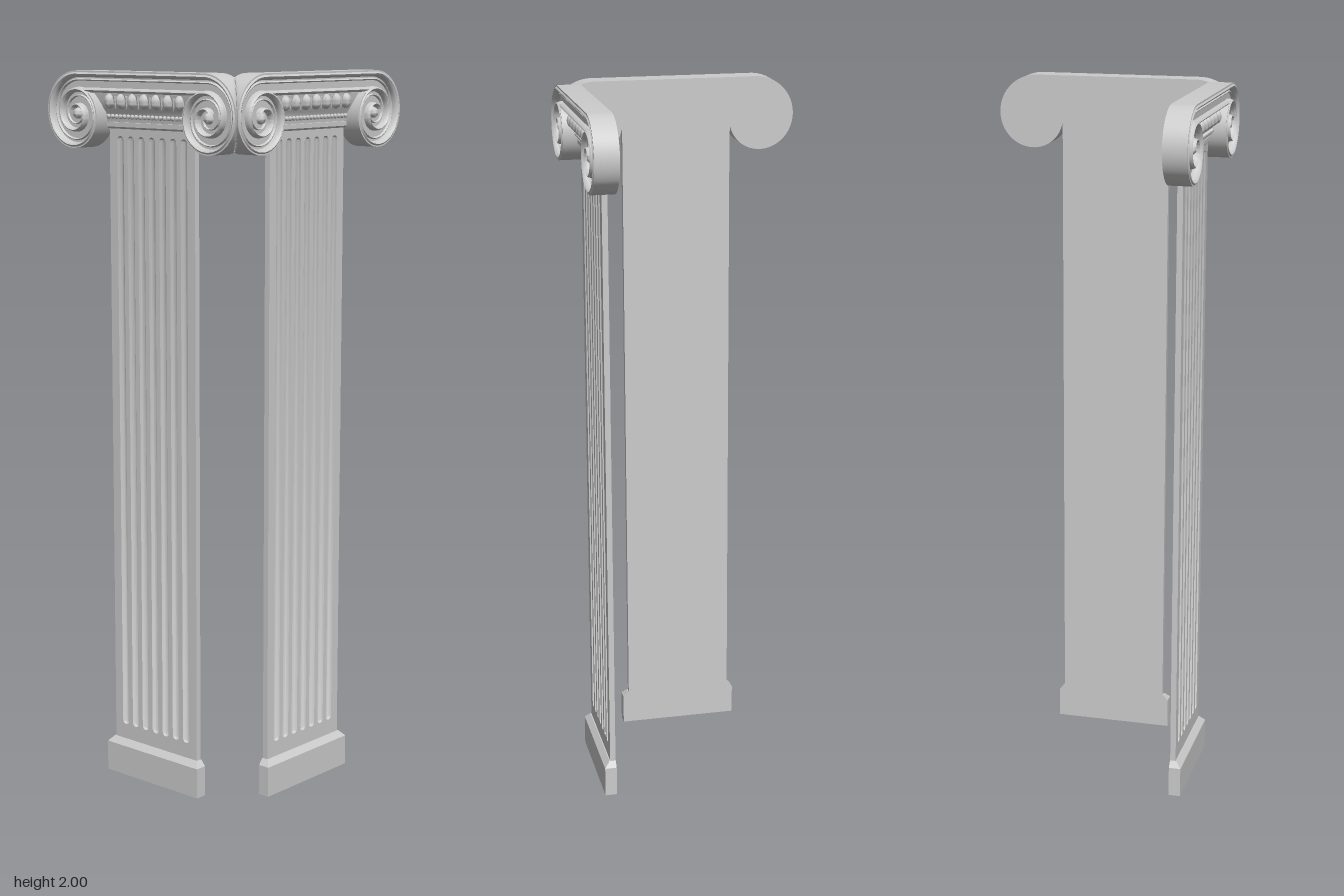
import * as THREE from 'three';
import { toCreasedNormals } from 'three/addons/utils/BufferGeometryUtils.js';

const CX = -0.003, BACK = 0.278, FRONT = 0.348;
const VX = 0.24, VY = 1.884, R0 = 0.116;          // volute centre and top radius
const stone = new THREE.MeshStandardMaterial({ color: 0xcccccc, side: THREE.DoubleSide });

// point on the left volute spiral, t in turns from the top, going outward-left first
function spiral(t, inset = 0) {
  const r = R0 * (1 - 0.38 * t) - inset, a = 2 * Math.PI * t;
  return [-VX - r * Math.sin(a), VY + r * Math.cos(a)];
}

function extrude(shape, z0, z1, steps = 1) {
  return new THREE.ExtrudeGeometry(shape, { depth: z1 - z0, steps, bevelEnabled: false, curveSegments: 10 }).translate(0, 0, z0);
}

function box(halfWidth, y0, y1, z0, z1) {
  return new THREE.BoxGeometry(2 * halfWidth, y1 - y0, z1 - z0).translate(0, (y0 + y1) / 2, (z0 + z1) / 2);
}

// moulding: a (z, y) profile run along x
function moulding(profile, halfWidth) {
  const shape = new THREE.Shape(profile.map(([z, y]) => new THREE.Vector2(z, y)));
  return new THREE.ExtrudeGeometry(shape, { depth: 2 * halfWidth, bevelEnabled: false })
    .rotateY(-Math.PI / 2).translate(halfWidth, 0, 0);
}

// half-round ridge along a flat path of [x, y, halfWidth]
function ridge(path, z0, height) {
  const m = 6, pos = [], idx = [];
  path.forEach(([x, y, w], i) => {
    const p = path[Math.max(i - 1, 0)], q = path[Math.min(i + 1, path.length - 1)];
    const l = Math.hypot(q[0] - p[0], q[1] - p[1]), nx = -(q[1] - p[1]) / l, ny = (q[0] - p[0]) / l;
    for (let j = 0; j <= m; j++) {
      const c = Math.cos(Math.PI * j / m) * w;
      pos.push(x + nx * c, y + ny * c, z0 + Math.sin(Math.PI * j / m) * height);
      if (i < path.length - 1 && j < m) {
        const a = i * (m + 1) + j, b = a + m + 1;
        idx.push(a, a + 1, b, b, a + 1, b + 1);
      }
    }
  });
  const g = new THREE.BufferGeometry();
  g.setAttribute('position', new THREE.Float32BufferAttribute(pos, 3));
  g.setIndex(idx);
  g.computeVertexNormals();
  return g;
}

// path from the left eye, out along the spiral, across the top and into the right eye
function scrollPath(turns, inset, w0, w1) {
  const left = [], n = Math.round(turns * 40);
  for (let i = n; i >= 0; i--) {
    const t = turns * i / n, w = w0 + (w1 - w0) * i / n;
    left.push([...spiral(t, inset + w), w]);
  }
  return left.concat(left.slice().reverse().map(([x, y, w]) => [-x, y, w]));
}

function capitalBody() {
  const left = [];
  for (let i = 0; i <= 44; i++) left.push(spiral(i / 50));
  const right = left.map(([x, y]) => [-x, y]).reverse();
  const shape = new THREE.Shape([...left, ...right].map(([x, y]) => new THREE.Vector2(x, y)));
  return extrude(shape, BACK, 0.33, 10);
}

// side wall that carries the silhouette out to the rim
function rimWall() {
  const outer = [], inner = [];
  for (let i = 0; i <= 44; i++) {
    outer.push(spiral(i / 50));
    inner.push(spiral(i / 50, 0.006));
  }
  const flip = list => list.map(([x, y]) => [-x, y]).reverse();
  const ring = [...flip(outer), ...outer, ...inner.slice().reverse(), ...flip(inner).reverse()];
  return extrude(new THREE.Shape(ring.map(([x, y]) => new THREE.Vector2(x, y))), 0.328, FRONT - 0.003, 4);
}

// fluted face with round-ended slots
const FLUTES = [-3, -2, -1, 0, 1, 2, 3].map(i => i * 0.039);
const FR = 0.012, FY0 = 0.145, FY1 = 1.825;
function flutedFace() {
  const s = new THREE.Shape();
  s.moveTo(-0.157, 0.09).lineTo(0.157, 0.09).lineTo(0.157, 1.87).lineTo(-0.157, 1.87).closePath();
  for (const x of FLUTES) {
    const h = new THREE.Path();
    h.absarc(x, FY1 - FR, FR, 0, Math.PI, false);
    h.absarc(x, FY0 + FR, FR, Math.PI, 2 * Math.PI, false);
    h.closePath();
    s.holes.push(h);
  }
  return extrude(s, BACK + 0.003, 0.294);
}

function flute(x) {
  const pts = [];
  for (let i = 0; i <= 6; i++) {
    const a = -Math.PI / 2 + i * Math.PI / 12;
    pts.push(new THREE.Vector2(FR * Math.cos(a), FY0 + FR + FR * Math.sin(a)));
  }
  for (let i = 0; i <= 6; i++) {
    const a = i * Math.PI / 12;
    pts.push(new THREE.Vector2(FR * Math.cos(a), FY1 - FR + FR * Math.sin(a)));
  }
  return new THREE.LatheGeometry(pts, 8, Math.PI / 2, Math.PI).scale(1, 1, 0.8).translate(x, 0, 0.294);
}

// plinth with a sloped shoulder
function shoulder() {
  const g = box(0.174, 0.086, 0.102, BACK, 0.312), p = g.attributes.position;
  for (let i = 0; i < p.count; i++) {
    if (p.getY(i) < 0.09) continue;
    p.setX(i, Math.sign(p.getX(i)) * 0.16);
    if (p.getZ(i) > 0.3) p.setZ(i, 0.297);
  }
  g.computeVertexNormals();
  return g;
}

function pilasterParts() {
  const parts = [];
  const add = (name, g, crease = 0.6) => {
    g.translate(CX, 0, 0);
    // mitre the corner end
    const p = g.attributes.position;
    for (let i = 0; i < p.count; i++) p.setX(i, Math.min(p.getX(i), p.getZ(i)));
    parts.push([name, toCreasedNormals(g, crease)]);
  };
  add('plinth', box(0.174, 0, 0.086, BACK, 0.312));
  add('plinthShoulder', shoulder());
  add('shaftBack', box(0.157, 0.09, 1.87, BACK, 0.283));
  add('flutedShaft', flutedFace());
  for (const x of FLUTES) add('flute', flute(x));

  add('capitalBody', capitalBody());
  add('capitalRim', rimWall());
  add('scrollRidge', ridge(scrollPath(2.15, 0, 0.009, 0.004), 0.328, FRONT - 0.328), 1);
  add('scrollFillet', ridge(scrollPath(1.7, 0.021, 0.0035, 0.002), 0.328, 0.008), 1);
  add('channelEdge', ridge([[-VX, 1.948, 0.007], [VX, 1.948, 0.007]], 0.326, 0.018), 1);
  for (const s of [-1, 1])
    add('voluteEye', new THREE.SphereGeometry(0.015, 16, 10).translate(s * VX, VY, 0.331), 1);

  add('neckMoulding', moulding([[BACK, 1.845], [0.298, 1.845], [0.303, 1.85], [0.303, 1.862], [BACK, 1.862]], 0.158));
  add('eggMoulding', moulding([[BACK, 1.862], [0.303, 1.864], [0.305, 1.885], [0.314, 1.9], [0.321, 1.92], [0.324, 1.95], [BACK, 1.95]], 0.185), 1);
  for (let i = -3; i <= 3; i++)
    add('egg', new THREE.SphereGeometry(1, 12, 10).scale(0.014, 0.021, 0.016).translate(i * 0.043, 1.92, 0.321), 1);
  for (let i = -3; i < 3; i++)
    add('dart', new THREE.ConeGeometry(0.006, 0.036, 6).rotateX(Math.PI).translate((i + 0.5) * 0.043, 1.916, 0.322));
  for (let i = -10; i <= 10; i++)
    add('bead', new THREE.SphereGeometry(0.0065, 8, 6).translate(i * 0.0148, 1.878, 0.306), 1);
  return parts;
}

// reflect across the corner plane by swapping x and z, and restore the winding
function reflect(source) {
  const g = new THREE.BufferGeometry();
  for (const key of ['position', 'normal']) {
    const a = source.attributes[key], out = [];
    for (let i = 0; i < a.count; i += 3)
      for (const k of [i, i + 2, i + 1]) out.push(a.getZ(k), a.getY(k), a.getX(k));
    g.setAttribute(key, new THREE.Float32BufferAttribute(out, 3));
  }
  return g;
}

export function createModel() {
  const model = new THREE.Group();
  model.name = 'cornerPilasters';
  const front = new THREE.Group(), side = new THREE.Group();
  front.name = 'frontPilaster';
  side.name = 'sidePilaster';
  for (const [name, g] of pilasterParts()) {
    for (const [group, geometry] of [[front, g], [side, reflect(g)]]) {
      const mesh = new THREE.Mesh(geometry, stone);
      mesh.name = name;
      group.add(mesh);
    }
  }
  model.add(front, side);
  return model;
}
